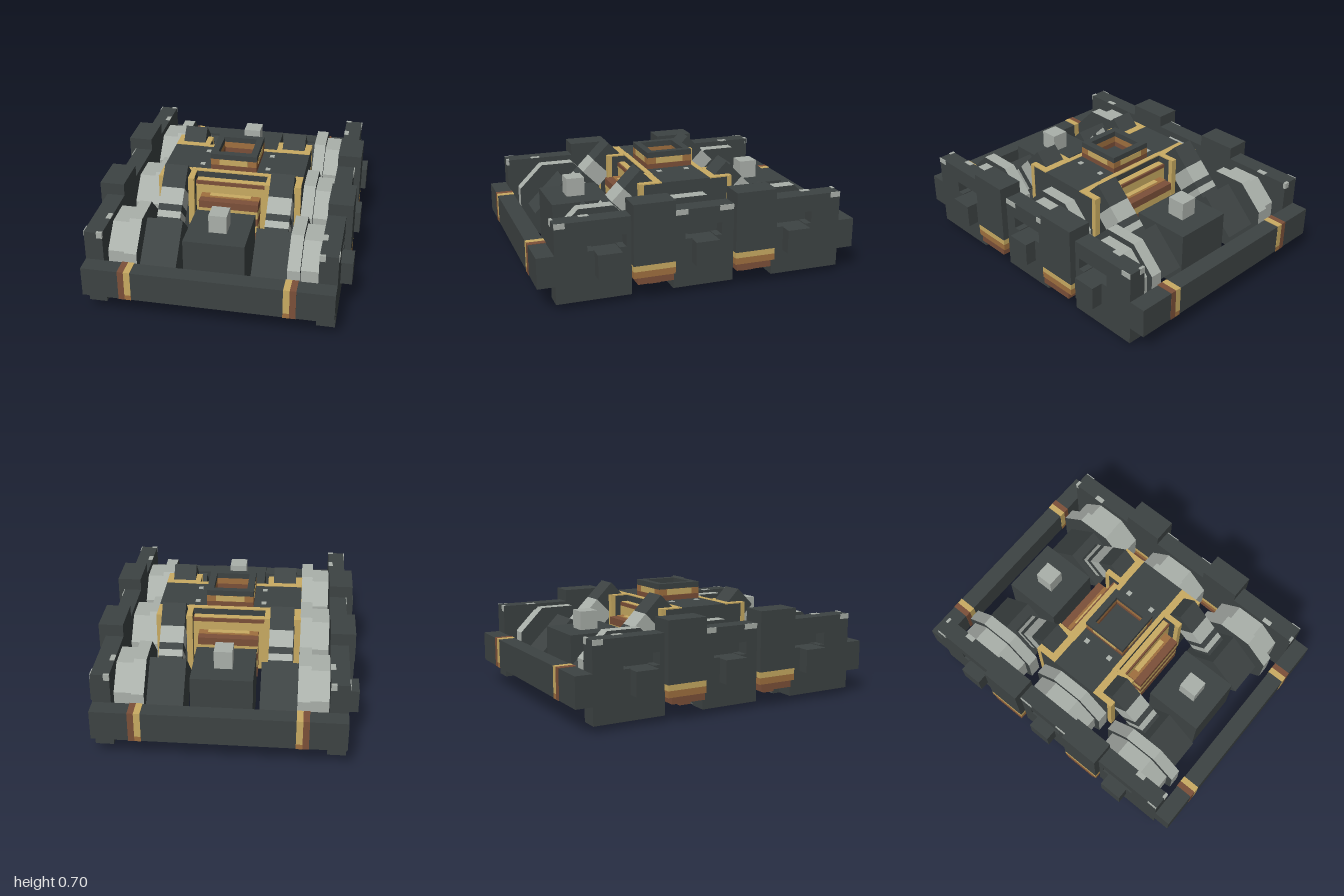
import * as THREE from 'three';

const mat = (name, color) => {
  const m = new THREE.MeshStandardMaterial({ color });
  m.name = name;
  return m;
};

export function createModel() {
  const dark = mat('dark iron', 0x3d4343);
  const light = mat('light steel', 0xaab0aa);
  const gold = mat('gold', 0xc9ab62);
  const tan = mat('bronze', 0xa0703f);
  const brown = mat('copper brown', 0x7c5039);
  const root = new THREE.Group();
  root.name = 'machineBase';

  // Box given by its min and max on each axis
  const box = (parent, name, m, x0, x1, y0, y1, z0, z1) => {
    const mesh = new THREE.Mesh(new THREE.BoxGeometry(x1 - x0, y1 - y0, z1 - z0), m);
    mesh.position.set((x0 + x1) / 2, (y0 + y1) / 2, (z0 + z1) / 2);
    mesh.name = name;
    parent.add(mesh);
    return mesh;
  };
  // Same box mirrored to both sides (x range positive)
  const pair = (parent, name, m, x0, x1, y0, y1, z0, z1) => {
    box(parent, name, m, x0, x1, y0, y1, z0, z1);
    box(parent, name, m, -x1, -x0, y0, y1, z0, z1);
  };
  const octagon = (parent, name, half, x0, x1, z) => {
    const r = half / Math.cos(Math.PI / 8);
    const g = new THREE.CylinderGeometry(r, r, x1 - x0, 8, 1, false, Math.PI / 8).toNonIndexed();
    g.computeVertexNormals();
    g.rotateZ(Math.PI / 2);
    const mesh = new THREE.Mesh(g, [light, dark, dark]);
    mesh.position.set((x0 + x1) / 2, 0.26, z);
    mesh.name = name;
    parent.add(mesh);
  };

  // Wheels: two-step octagonal rollers with a diamond-shaped hub
  for (const s of [-1, 1]) {
    for (const z of [-0.59, 0, 0.59]) {
      const wheel = new THREE.Group();
      wheel.name = 'wheel';
      root.add(wheel);
      const span = (a, b) => (s > 0 ? [a, b] : [-b, -a]);
      octagon(wheel, 'wheelRim', 0.258, ...span(0.445, 0.52), z);
      octagon(wheel, 'wheelTread', 0.22, ...span(0.52, 0.63), z);
      const hub = box(wheel, 'wheelHub', dark, ...span(0.225, 0.445), 0.112, 0.408, z - 0.148, z + 0.148);
      hub.rotation.x = Math.PI / 4;
      box(wheel, 'axleEnd', dark, ...span(0.66, 0.81), 0.19, 0.335, z - 0.073, z + 0.073);
    }
  }

  // Side plates with a recessed slot above each axle
  for (const s of [-1, 1]) {
    for (const [z0, z1, c] of [[-0.895, -0.445, -0.59], [-0.19, 0.19, 0], [0.445, 0.895, 0.59]]) {
      const shape = new THREE.Shape();
      shape.moveTo(z0, 0.04).lineTo(z1, 0.04).lineTo(z1, 0.52).lineTo(z0, 0.52).closePath();
      const slot = new THREE.Path();
      slot.moveTo(c - 0.115, 0.34).lineTo(c - 0.115, 0.415).lineTo(c + 0.115, 0.415).lineTo(c + 0.115, 0.34)
        .lineTo(c + 0.073, 0.34).lineTo(c + 0.073, 0.19).lineTo(c - 0.073, 0.19).lineTo(c - 0.073, 0.34).closePath();
      shape.holes.push(slot);
      const g = new THREE.ExtrudeGeometry(shape, { depth: 0.08, bevelEnabled: false });
      g.rotateY(-Math.PI / 2); // shape x becomes z, depth runs to -x
      const plate = new THREE.Mesh(g, dark);
      plate.position.x = s > 0 ? 0.74 : -0.66;
      plate.name = 'sidePlate';
      root.add(plate);
      const [a, b] = s > 0 ? [0.63, 0.66] : [-0.66, -0.63];
      box(root, 'sidePlateBacking', dark, a, b, 0.04, 0.52, z0, z1);
    }
  }

  for (const f of [-1, 1]) {
    // Box between two z distances, at the front (f = 1) or back (f = -1)
    const zs = (a, b) => (f > 0 ? [a, b] : [-b, -a]);

    // End rails with gold and copper bands
    box(root, 'endRail', dark, -0.74, 0.74, 0.15, 0.335, ...zs(0.895, 1));
    pair(root, 'railGoldBand', gold, 0.445, 0.483, 0.18, 0.338, ...zs(0.892, 1.002));
    pair(root, 'railBronzeBand', tan, 0.445, 0.483, 0.148, 0.18, ...zs(0.892, 1.002));
    pair(root, 'railCopperBand', brown, 0.483, 0.52, 0.148, 0.338, ...zs(0.892, 1.002));

    // Worn light corners on the side plates
    pair(root, 'wornCorner', light, 0.63, 0.665, 0.485, 0.523, ...zs(0.88, 0.898));
    pair(root, 'wornEdge', light, 0.738, 0.743, 0.49, 0.522, ...zs(0.83, 0.894));
    pair(root, 'wornTop', light, 0.63, 0.66, 0.516, 0.523, ...zs(0.67, 0.73));
    pair(root, 'wornEdge', light, 0.738, 0.743, 0.49, 0.522, ...zs(0.1, 0.188));

    // Pylons with stepped metal feet
    pair(root, 'pylon', dark, 0.63, 0.78, 0.225, 0.597, ...zs(0.19, 0.445));
    pair(root, 'pylonGoldBand', gold, 0.63, 0.78, 0.19, 0.225, ...zs(0.19, 0.445));
    pair(root, 'pylonBronzeBand', tan, 0.63, 0.78, 0.15, 0.19, ...zs(0.19, 0.445));
    pair(root, 'pylonFoot', brown, 0.63, 0.78, 0.11, 0.15, ...zs(0.2, 0.42));
    pair(root, 'pylonToe', brown, 0.64, 0.72, 0.08, 0.11, ...zs(0.26, 0.335));

    // Reservoir with a steel knob
    box(root, 'reservoir', dark, -0.185, 0.185, 0.075, 0.445, ...zs(0.405, 0.775));
    box(root, 'reservoirKnob', light, -0.055, 0.055, 0.445, 0.56, ...zs(0.535, 0.65));

    // Shoulder blocks with gold edging
    pair(root, 'shoulder', dark, 0.225, 0.445, 0.2, 0.595, ...zs(0.155, 0.297));
    pair(root, 'shoulderCap', gold, 0.225, 0.445, 0.595, 0.602, ...zs(0.155, 0.3));
    pair(root, 'shoulderOuterEdge', gold, 0.41, 0.447, 0.2, 0.6, ...zs(0.27, 0.3));
    pair(root, 'shoulderInnerEdge', gold, 0.223, 0.26, 0.2, 0.6, ...zs(0.27, 0.3));
    pair(root, 'shoulderTopEdge', gold, 0.225, 0.445, 0.56, 0.6, ...zs(0.294, 0.3));

    // Slanted pistons: dark head, then alternating steel and dark rings
    const bands = [[0.28, 0.385, dark], [0.385, 0.46, light], [0.46, 0.49, dark], [0.49, 0.52, light], [0.52, 0.54, dark]];
    for (const [z0, z1, m] of bands) {
      for (const s of [-1, 1]) {
        const part = new THREE.Mesh(new THREE.BoxGeometry(0.145, 0.15, (z1 - z0) * Math.SQRT2), m);
        const zc = (z0 + z1) / 2, d = 0.075 * Math.SQRT1_2;
        part.position.set(s * 0.333, 0.96 - zc - d, f * (zc - d));
        part.rotation.x = f * Math.PI / 4;
        part.name = m === light ? 'pistonRing' : 'pistonBody';
        root.add(part);
      }
    }

    // Stepped metal stairs on the core
    box(root, 'upperStep', gold, -0.225, 0.225, 0.2, 0.53, ...zs(0.155, 0.23));
    box(root, 'upperStepLip', brown, -0.225, 0.225, 0.53, 0.553, ...zs(0.155, 0.232));
    box(root, 'upperStepTop', gold, -0.22, 0.22, 0.553, 0.557, ...zs(0.155, 0.222));
    [[0.2, 0.27, brown], [0.27, 0.32, gold], [0.32, 0.37, brown], [0.37, 0.42, gold], [0.42, 0.468, brown]]
      .forEach(([y0, y1, m]) => box(root, 'lowerStep', m, -0.187, 0.187, y0, y1, ...zs(0.23, 0.33)));
    box(root, 'lowerStepTop', tan, -0.187, 0.187, 0.468, 0.472, ...zs(0.23, 0.28));
    box(root, 'lowerStepInlay', gold, -0.13, 0.13, 0.47, 0.475, ...zs(0.232, 0.265));
    box(root, 'coreGoldTrim', gold, -0.26, 0.26, 0.597, 0.603, ...zs(0.152, 0.184));
    pair(root, 'coreStud', light, 0.195, 0.225, 0.597, 0.604, ...zs(0.075, 0.105));
  }

  // Core body
  box(root, 'core', dark, -0.445, 0.445, 0.2, 0.6, -0.155, 0.155);
  box(root, 'coreLip', dark, -0.225, 0.225, 0.555, 0.598, -0.183, 0.183);

  // Hollow square collar in layers
  const collar = (name, m, half, y0, y1) => {
    const inner = 0.105;
    for (const s of [-1, 1]) {
      const [a, b] = s > 0 ? [inner, half] : [-half, -inner];
      box(root, name, m, -half, half, y0, y1, a, b);
      box(root, name, m, a, b, y0, y1, -inner, inner);
    }
  };
  collar('collarBase', brown, 0.147, 0.595, 0.632);
  collar('collarMiddle', tan, 0.147, 0.632, 0.672);
  collar('collarTop', dark, 0.147, 0.672, 0.707);
  for (const s of [-1, 1]) {
    const [a, b] = s > 0 ? [0.144, 0.149] : [-0.149, -0.144];
    box(root, 'collarInlay', gold, -0.09, 0.09, 0.634, 0.671, a, b);
    box(root, 'collarInlay', gold, a, b, 0.634, 0.671, -0.09, 0.09);
  }
  return root;
}
